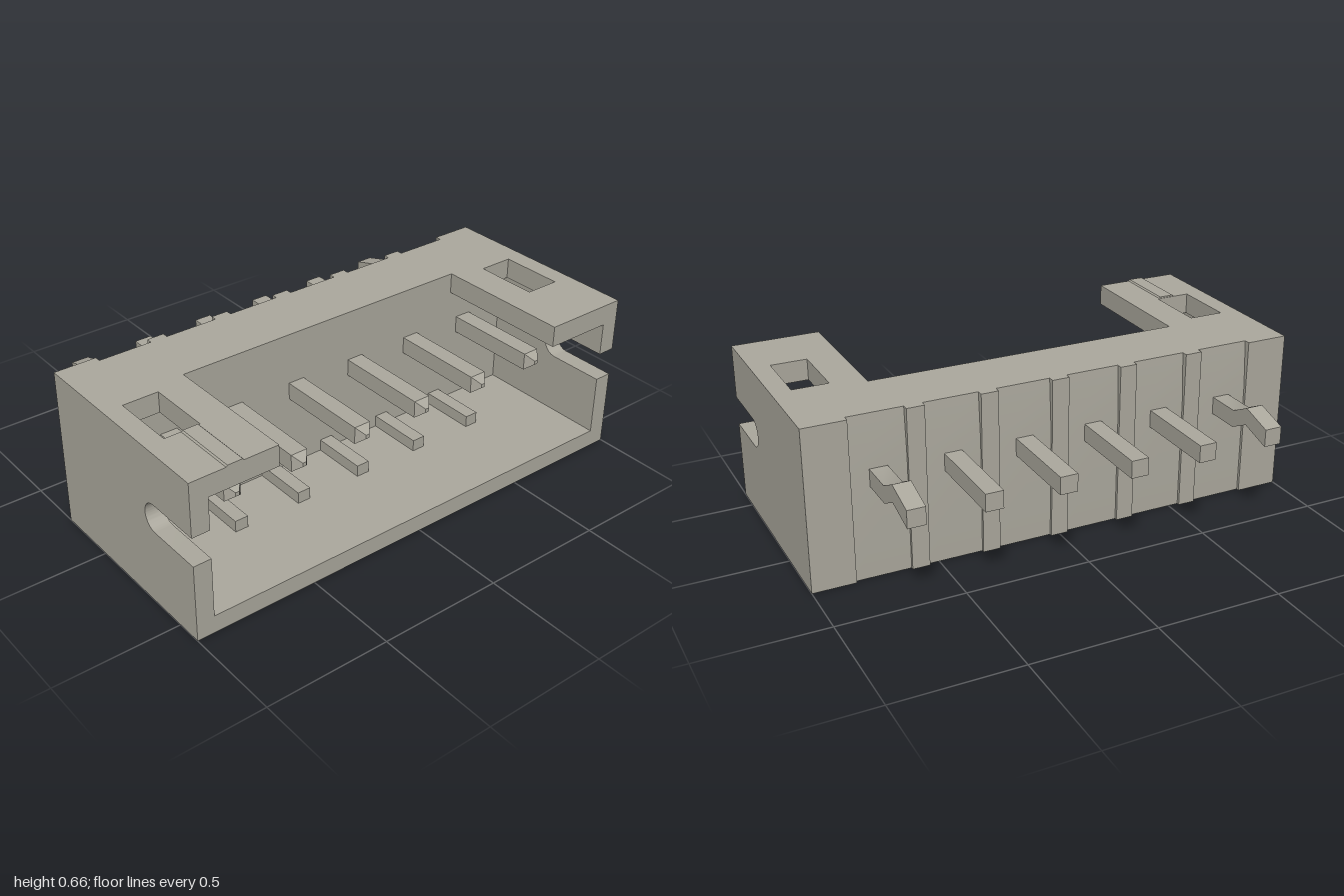
import * as THREE from 'three';
import { toCreasedNormals } from 'three/addons/utils/BufferGeometryUtils.js';

const PITCH = 0.288;
const FRONT = 0.605, BACK = -0.26, CAVITY = 0.035, TOP = 0.65;

export function createModel() {
  const model = new THREE.Group();
  model.name = 'pinHeader';
  const grey = new THREE.MeshStandardMaterial({ color: 0xaba89d });
  grey.name = 'warm grey';

  const add = (name, geometry) => {
    const mesh = new THREE.Mesh(toCreasedNormals(geometry, 0.5), grey);
    mesh.name = name;
    model.add(mesh);
    return mesh;
  };
  const box = (name, x0, x1, y0, y1, z0, z1) => add(name,
    new THREE.BoxGeometry(x1 - x0, y1 - y0, z1 - z0)
      .translate((x0 + x1) / 2, (y0 + y1) / 2, (z0 + z1) / 2));
  const outline = (pts) => new THREE.Shape(pts.map(([a, b]) => new THREE.Vector2(a, b)));
  // (z, y) profile given a width along x
  const across = (name, shape, x, width) => add(name,
    new THREE.ExtrudeGeometry(shape, { depth: width, bevelEnabled: false, curveSegments: 24 })
      .rotateY(-Math.PI / 2).translate(x + width / 2, 0, 0));
  // (x, z) plan given a height along y
  const upright = (name, shape, y0, y1) => add(name,
    new THREE.ExtrudeGeometry(shape, { depth: y1 - y0, bevelEnabled: false })
      .rotateX(Math.PI / 2).translate(0, y1, 0));

  // Back wall: castellated plan with a recessed bay behind every pin
  const plan = [[-1, CAVITY], [-1, BACK]];
  for (let i = 0; i < 6; i++) {
    const x = (i - 2.5) * PITCH;
    plan.push([x - 0.109, BACK], [x - 0.109, -0.235], [x + 0.109, -0.235], [x + 0.109, BACK]);
  }
  plan.push([1, BACK], [1, CAVITY]);
  upright('backWall', outline(plan), 0, TOP);

  // Floor of the shroud
  box('floor', -1, 1, 0, 0.072, CAVITY, FRONT);

  // Side walls with a round-ended slot
  for (const s of [-1, 1]) {
    const wall = new THREE.Shape();
    wall.moveTo(CAVITY, 0);
    wall.lineTo(FRONT, 0);
    wall.lineTo(FRONT, 0.317);
    wall.lineTo(0.374, 0.317);
    wall.absarc(0.374, 0.375, 0.058, -Math.PI / 2, -Math.PI * 1.5, true);
    wall.lineTo(FRONT, 0.433);
    wall.lineTo(FRONT, TOP);
    wall.lineTo(CAVITY, TOP);
    wall.closePath();
    across('sideWall', wall, s * 0.964, 0.072);

    // Top arm with a rectangular window
    const [a, b] = s < 0 ? [-0.93, -0.645] : [0.645, 0.93];
    const arm = outline([[a, CAVITY], [b, CAVITY], [b, FRONT], [a, FRONT]]);
    const [c, d] = s < 0 ? [-0.922, -0.778] : [0.778, 0.922];
    arm.holes.push(new THREE.Path([[c, 0.08], [c, 0.342], [d, 0.342], [d, 0.08]]
      .map(([x, z]) => new THREE.Vector2(x, z))));
    upright('topArm', arm, 0.565, TOP);
  }

  // Low raised marker on one arm
  const marker = outline([[-0.86, 0.645], [-0.78, 0.645], [-0.79, 0.656], [-0.85, 0.656]]);
  add('marker', new THREE.ExtrudeGeometry(marker, { depth: FRONT - 0.345, bevelEnabled: false })
    .translate(0, 0, 0.345));

  // Ribs on the cavity floor
  for (let i = -2; i <= 2; i++) {
    box('floorRib', i * PITCH - 0.028, i * PITCH + 0.028, 0.06, 0.12, CAVITY, 0.268);
  }

  // Pins, each with a pointed front end; the outer two have kinked tails
  const h = 0.035, y = 0.405;
  for (let i = 0; i < 6; i++) {
    const x = (i - 2.5) * PITCH;
    // Bay panel leaning inwards towards the top
    across('bayPanel', outline([[-0.23, 0], [-0.23, TOP], [-0.235, TOP], [-0.248, 0.46], [-0.248, 0]]),
      x, 0.218);
    box('pin', x - h, x + h, y - h, y + h, -0.1, 0.43);
    add('pinTip', new THREE.CylinderGeometry(0.008 * Math.SQRT2, h * Math.SQRT2, 0.032, 4)
      .rotateY(Math.PI / 4).rotateX(Math.PI / 2).translate(x, y, 0.446));
    if (i === 0 || i === 5) {
      across('kinkedTail', outline([[-0.2, 0.37], [-0.2, 0.44], [-0.39, 0.44], [-0.475, 0.483],
        [-0.605, 0.445], [-0.605, 0.375], [-0.475, 0.413], [-0.39, 0.37]]), x, 2 * h);
    } else {
      box('straightTail', x - h, x + h, y - h, y + h, -0.605, -0.2);
    }
  }
  return model;
}
